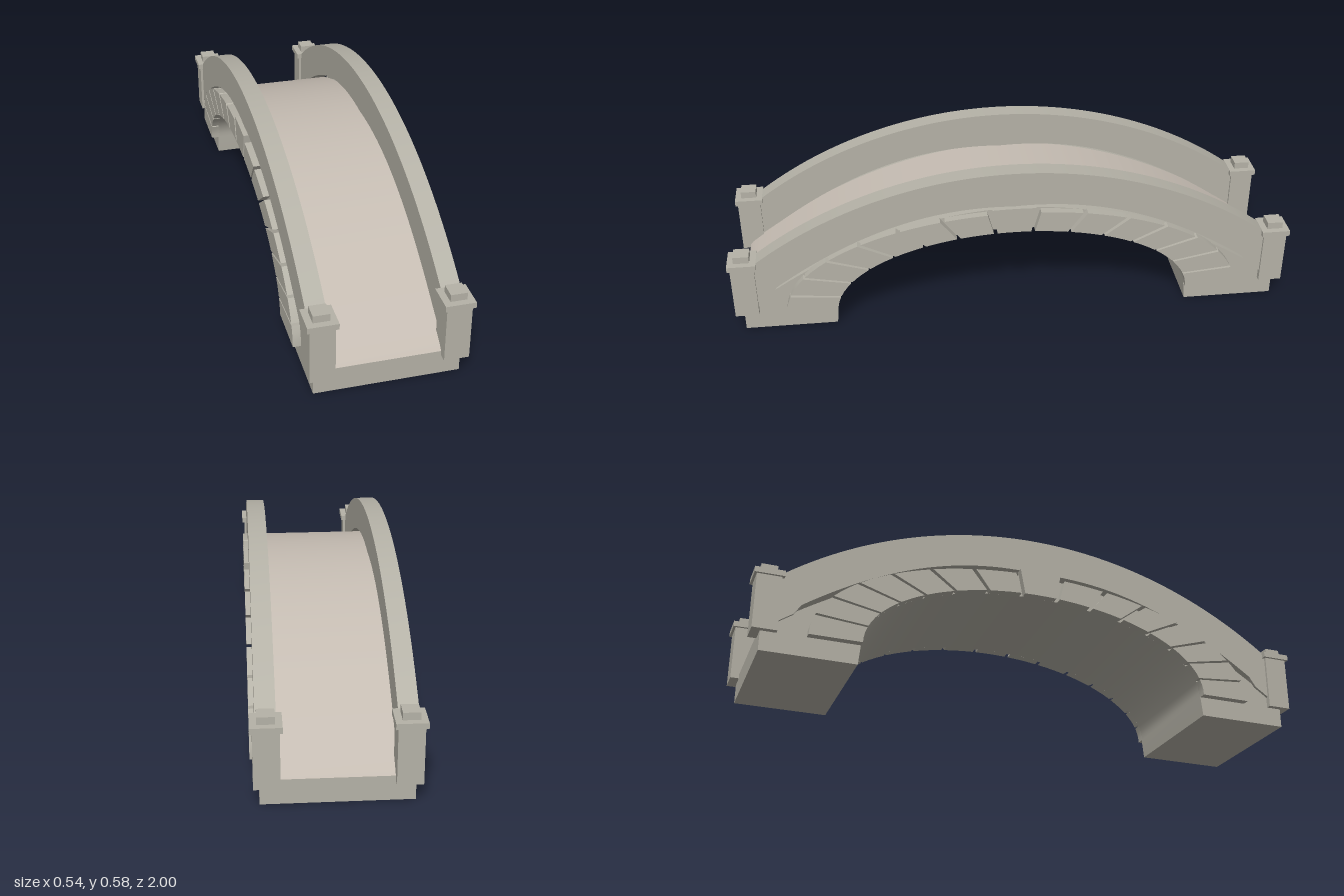
import * as THREE from 'three';
import { toCreasedNormals } from 'three/addons/utils/BufferGeometryUtils.js';

const stone = new THREE.MeshStandardMaterial({ name: 'greyStone', color: 0xb5b2a7 });
const paving = new THREE.MeshStandardMaterial({ name: 'warmPaving', color: 0xc5bcb2 });

// Heights along the length of the bridge
const deckY = z => 0.45 - 0.352 * (z / 0.95) ** 2;
const railY = z => 0.58 - 1.515 + Math.sqrt(1.515 ** 2 - z * z);
const railBottom = z => Math.abs(z) < 0.84
  ? deckY(z) + 0.014 * Math.sin(Math.PI * Math.abs(z) / 0.84) : deckY(z) - 0.02;

// Sample a height rule from z = a to z = b
function curve(f, a, b, n = 64) {
  return Array.from({ length: n + 1 }, (_, i) => {
    const z = a + (b - a) * i / n;
    return [z, f(z)];
  });
}

// Point on the arch ring; angle in degrees, 0 at the front springing
function ring(a, b, deg) {
  const t = THREE.MathUtils.degToRad(deg);
  return [a * Math.cos(t), 0.07 + b * Math.sin(t)];
}
const arc = (a, b, from, to, n) =>
  Array.from({ length: n + 1 }, (_, i) => ring(a, b, from + (to - from) * i / n));

// Extrude a side outline of [z, y] points between two x positions
function slab(name, points, x0, x1, material) {
  const shape = new THREE.Shape(points.map(p => new THREE.Vector2(p[0], p[1])));
  let g = new THREE.ExtrudeGeometry(shape, { depth: x1 - x0, bevelEnabled: false });
  g.rotateY(-Math.PI / 2).translate(x1, 0, 0);
  g = toCreasedNormals(g, 0.3);
  const mesh = new THREE.Mesh(g, material);
  mesh.name = name;
  return mesh;
}

function block(name, w, h, d, y) {
  const mesh = new THREE.Mesh(new THREE.BoxGeometry(w, h, d), stone);
  mesh.name = name;
  mesh.position.y = y + h / 2;
  return mesh;
}

// Square corner post with cap and small top block
function post(x, z) {
  const g = new THREE.Group();
  g.name = 'cornerPost';
  g.add(block('postShaft', 0.083, 0.195, 0.083, 0.069));
  g.add(block('postCap', 0.1, 0.02, 0.1, 0.263));
  g.add(block('postTop', 0.055, 0.025, 0.055, 0.283));
  g.position.set(x, 0, z);
  return g;
}

export function createModel() {
  const model = new THREE.Group();
  model.name = 'archBridge';

  // Arch body with abutments
  model.add(slab('archBody', [
    [0.962, 0], [0.962, 0.085], [0.95, 0.086],
    ...curve(z => deckY(z) - 0.012, 0.945, -0.945),
    [-0.95, 0.086], [-0.962, 0.085], [-0.962, 0], [-0.637, 0],
    ...arc(0.63, 0.285, 180, 0, 48), [0.637, 0],
  ], -0.24, 0.24, stone));

  // Walking surface
  model.add(slab('deck', [
    ...curve(deckY, 0.95, -0.95), [-0.962, 0.085],
    ...curve(z => deckY(z) - 0.013, -0.95, 0.95), [0.962, 0.085],
  ], -0.2, 0.2, paving));

  for (const s of [1, -1]) {
    const span = (a, b) => s > 0 ? [a, b] : [-b, -a];

    // Parapet and its coping
    const [p0, p1] = span(0.185, 0.25);
    model.add(slab('parapet', [
      ...curve(z => railY(z) - 0.012, 0.93, -0.93),
      ...curve(railBottom, -0.93, 0.93, 80),
    ], p0, p1, stone));
    model.add(slab('coping', [
      ...curve(railY, 0.93, -0.93),
      ...curve(z => railY(z) - 0.012, -0.93, 0.93),
    ], p0, p1, stone));

    // Ring of wedge stones, the middle one a taller keystone
    const [v0, v1] = span(0.235, 0.267);
    for (let i = 0; i < 15; i++) {
      const key = i === 7;
      const from = i * 12 + (i ? 0.6 : 0), to = (i + 1) * 12 - (i < 14 ? 0.6 : 0);
      model.add(slab(key ? 'keystone' : 'archStone', [
        ...arc(0.81, key ? 0.38 : 0.362, from, to, 3),
        ...arc(0.63, 0.285, to, from, 3),
      ], v0, v1, stone));
    }

    for (const e of [1, -1]) model.add(post(s * 0.2175, e * 0.95));
  }
  return model;
}
